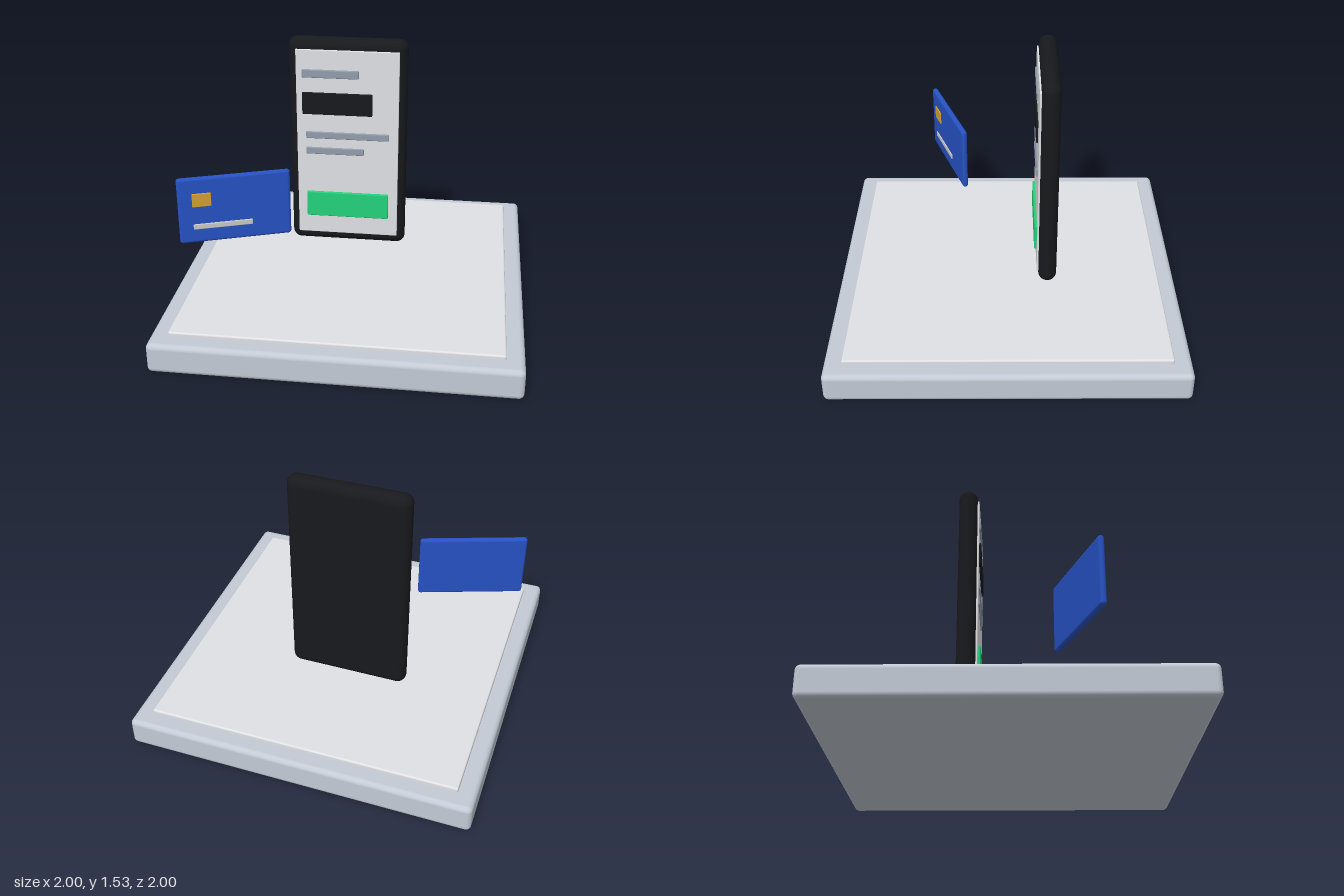
import * as THREE from 'three';
import { RoundedBoxGeometry } from 'three/addons/geometries/RoundedBoxGeometry.js';

const mat = (color) => new THREE.MeshStandardMaterial({ color });
const baseGrey = mat(0xc3cad5), pale = mat(0xdfe1e4), black = mat(0x18191c);
const slate = mat(0x929dad), green = mat(0x22d37a), blue = mat(0x2752c4), gold = mat(0xd4a233);
const silver = mat(0xcccccc);

// Rounded slab given by its minimum and maximum corners
function slab(name, min, max, radius, material, segments = 4) {
  const [w, h, d] = max.map((v, i) => v - min[i]);
  const mesh = new THREE.Mesh(new RoundedBoxGeometry(w, h, d, segments, radius), material);
  mesh.position.set(...max.map((v, i) => (v + min[i]) / 2));
  mesh.name = name;
  return mesh;
}

export function createModel() {
  const model = new THREE.Group();
  model.name = 'paymentScene';

  // Square platform with a raised top plate
  model.add(
    slab('platform', [-1, 0, -1], [1, 0.175, 1], 0.03, baseGrey),
    slab('platformPlate', [-0.9, 0.165, -0.9], [0.9, 0.2, 0.9], 0.01, pale),
  );

  // Upright phone with its screen
  const phone = new THREE.Group();
  phone.name = 'phone';
  phone.add(
    slab('phoneBody', [-0.415, 0.235, -0.286], [0.28, 1.53, -0.18], 0.052, black, 6),
    slab('screen', [-0.37, 0.297, -0.195], [0.235, 1.467, -0.17], 0.004, pale, 2),
  );

  // Interface blocks: name, left, right, bottom, top, front, material
  const blocks = [
    ['headingBar', -0.335, 0, 1.3, 1.35, -0.161, slate],
    ['amountPanel', -0.335, 0.08, 1.075, 1.21, -0.159, black],
    ['longTextLine', -0.315, 0.18, 0.922, 0.965, -0.162, slate],
    ['shortTextLine', -0.315, 0.03, 0.822, 0.865, -0.162, slate],
    ['payButton', -0.315, 0.18, 0.415, 0.575, -0.155, green],
  ];
  for (const [name, x0, x1, y0, y1, z, material] of blocks) {
    phone.add(slab(name, [x0, y0, -0.18], [x1, y1, z], 0.006, material, 2));
  }
  model.add(phone);

  // Floating bank card, turned towards the phone
  const card = new THREE.Group();
  card.name = 'bankCard';
  card.position.set(-0.633, 0.709, 0.366);
  card.rotation.y = THREE.MathUtils.degToRad(20);
  card.add(
    slab('cardBody', [-0.315, -0.198, -0.0175], [0.315, 0.198, 0.0175], 0.017, blue),
    slab('cardChip', [-0.236, 0.026, 0.01], [-0.13, 0.106, 0.024], 0.003, gold, 2),
    slab('cardNumberLine', [-0.236, -0.113, 0.01], [0.096, -0.08, 0.023], 0.005, silver, 2),
  );
  model.add(card);

  return model;
}
